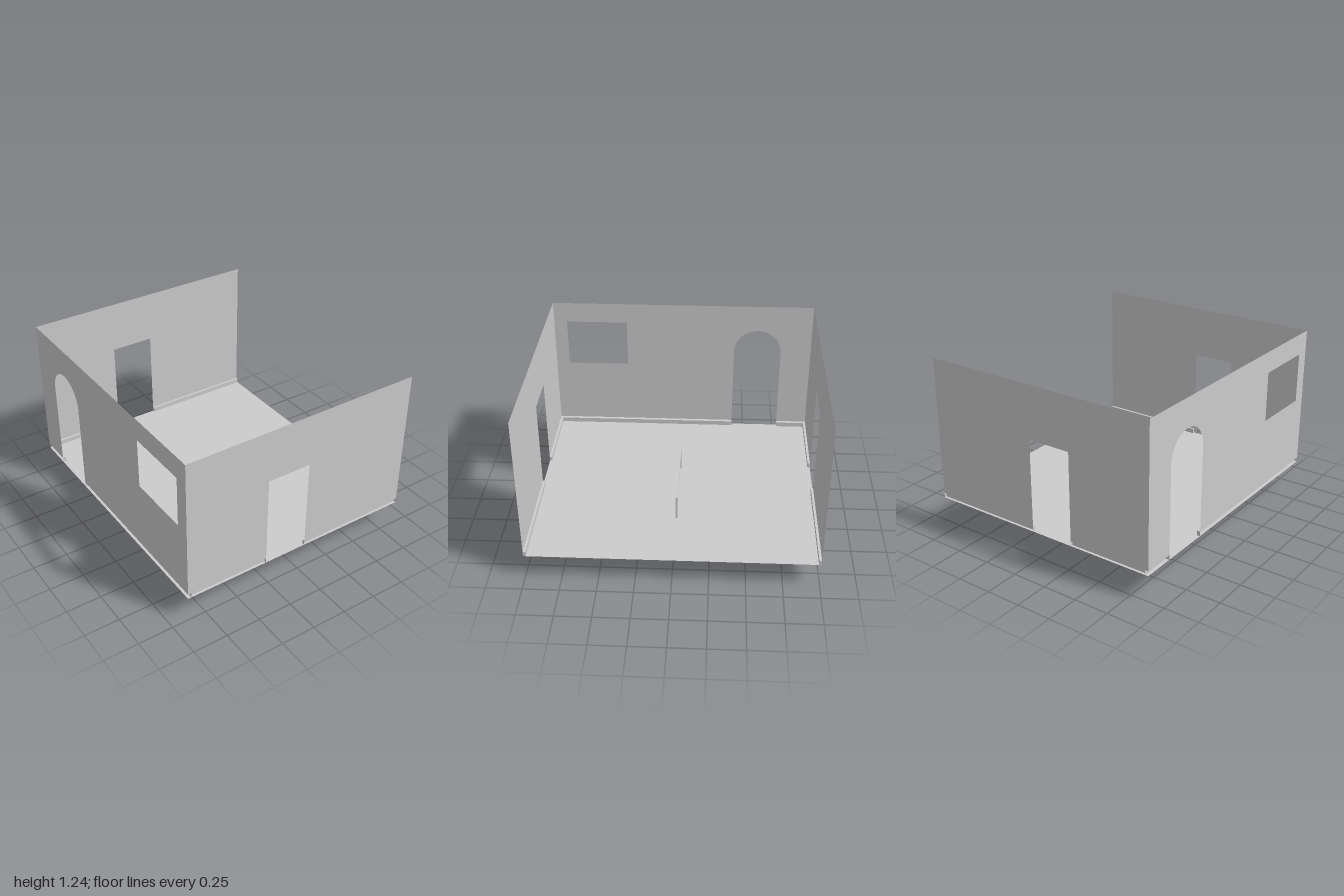
import * as THREE from 'three';

const FLOOR = 0.185, SKIRT = 0.22, TOP = 1.235, HALF_X = 0.88;
const material = new THREE.MeshStandardMaterial({ color: 0xcccccc, side: THREE.DoubleSide });

function addMesh(parent, name, geometry, x = 0, y = 0, z = 0) {
  const mesh = new THREE.Mesh(geometry, material);
  mesh.name = name;
  mesh.position.set(x, y, z);
  parent.add(mesh);
  return mesh;
}

// Thin wall in its own XY plane with an opening from a to b that reaches the floor
function wallShape(u0, u1, a, b, head, arched) {
  const s = new THREE.Shape();
  s.moveTo(u0, SKIRT);
  s.lineTo(a, SKIRT);
  if (arched) {
    const r = (b - a) / 2;
    s.lineTo(a, head - r);
    s.absarc(a + r, head - r, r, Math.PI, 0, true);
  } else {
    s.lineTo(a, head);
    s.lineTo(b, head);
  }
  s.lineTo(b, SKIRT);
  s.lineTo(u1, SKIRT);
  s.lineTo(u1, TOP);
  s.lineTo(u0, TOP);
  s.closePath();
  return s;
}

// Skirting: an upright face set in by depth, a ledge on top and optional end caps
function addSkirting(parent, u0, u1, depth, caps) {
  const h = SKIRT - FLOOR, mid = (u0 + u1) / 2, y = (FLOOR + SKIRT) / 2;
  const board = new THREE.Group();
  board.name = 'skirtingBoard';
  addMesh(board, 'skirtingFace', new THREE.PlaneGeometry(u1 - u0, h), mid, y, depth);
  addMesh(board, 'skirtingLedge', new THREE.PlaneGeometry(u1 - u0, Math.abs(depth)).rotateX(-Math.PI / 2),
    mid, SKIRT, depth / 2);
  for (const u of caps) {
    addMesh(board, 'skirtingEnd', new THREE.PlaneGeometry(Math.abs(depth), h).rotateY(Math.PI / 2), u, y, depth / 2);
  }
  parent.add(board);
}

export function createModel() {
  const model = new THREE.Group();
  model.name = 'room';

  addMesh(model, 'floor', new THREE.PlaneGeometry(2 * HALF_X, 2).rotateX(-Math.PI / 2), 0, FLOOR, 0);

  // Front and back walls, each with a doorway
  const [d0, d1] = [-0.27, 0.05];
  for (const side of [1, -1]) {
    const wall = new THREE.Group();
    wall.name = side > 0 ? 'frontWall' : 'backWall';
    wall.position.z = side;
    addMesh(wall, 'wallPanel', new THREE.ShapeGeometry(wallShape(-HALF_X, HALF_X, d0, d1, 0.857)));
    addSkirting(wall, -HALF_X + 0.025, d0, -0.018 * side, [d0]);
    addSkirting(wall, d1, HALF_X, -0.018 * side, [d1, HALF_X]);
    model.add(wall);
  }

  // Side wall with an archway and a window; its local x runs towards -z
  const sideWall = new THREE.Group();
  sideWall.name = 'rightWall';
  sideWall.position.x = -HALF_X;
  sideWall.rotation.y = Math.PI / 2;
  const [a0, a1] = [0.402, 0.767];
  const shape = wallShape(-1, 1, a0, a1, 1.03, true);
  const windowHole = new THREE.Path();
  windowHole.moveTo(-0.9, 0.72);
  windowHole.lineTo(-0.9, 1.08);
  windowHole.lineTo(-0.433, 1.08);
  windowHole.lineTo(-0.433, 0.72);
  windowHole.closePath();
  shape.holes.push(windowHole);
  addMesh(sideWall, 'wallPanel', new THREE.ShapeGeometry(shape, 24));
  addSkirting(sideWall, -1, a0, 0.025, [a0]);
  addSkirting(sideWall, a1, 1, 0.025, [a1]);
  model.add(sideWall);

  // Framed panel standing through the floor
  const picture = new THREE.Group();
  picture.name = 'framedPanel';
  picture.position.set(0.093, 0.181, -0.011);
  const w = 0.64, h = 0.362, border = 0.02;
  const frame = new THREE.Shape([[-1, -1], [1, -1], [1, 1], [-1, 1]]
    .map(([x, y]) => new THREE.Vector2(x * w / 2, y * h / 2)));
  frame.holes.push(new THREE.Path([[-1, -1], [-1, 1], [1, 1], [1, -1]]
    .map(([x, y]) => new THREE.Vector2(x * (w / 2 - border), y * (h / 2 - border)))));
  addMesh(picture, 'frame', new THREE.ExtrudeGeometry(frame, { depth: 0.016, bevelEnabled: false }), 0, 0, -0.008);
  addMesh(picture, 'panel', new THREE.PlaneGeometry(w - 2 * border, h - 2 * border));
  model.add(picture);

  return model;
}
